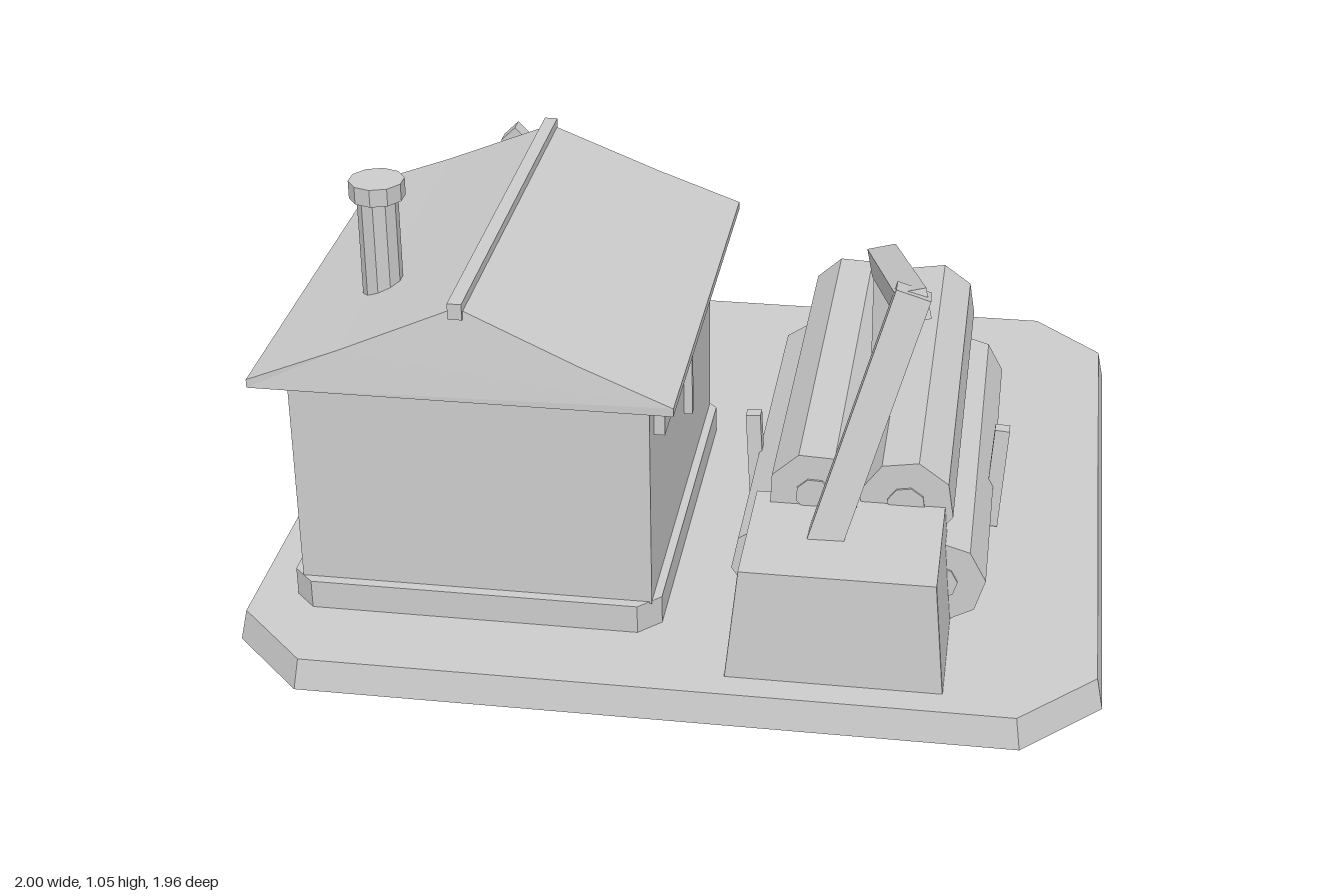
import * as THREE from 'three';

const gray = new THREE.MeshStandardMaterial({ color: 0xcccccc, side: THREE.DoubleSide });
gray.name = 'plain gray';

// Adds a faceted mesh with flat normals
function add(parent, name, geometry) {
  const g = geometry.index ? geometry.toNonIndexed() : geometry;
  g.computeVertexNormals();
  const mesh = new THREE.Mesh(g, gray);
  mesh.name = name;
  parent.add(mesh);
  return mesh;
}

// Box given by its limits on each axis
function box(parent, name, x0, x1, y0, y1, z0, z1) {
  const g = new THREE.BoxGeometry(x1 - x0, y1 - y0, z1 - z0);
  g.translate((x0 + x1) / 2, (y0 + y1) / 2, (z0 + z1) / 2);
  return add(parent, name, g);
}

// Square beam running between two points
function beam(parent, name, from, to, w, d) {
  const a = new THREE.Vector3(...from), b = new THREE.Vector3(...to);
  const dir = b.clone().sub(a);
  const mesh = add(parent, name, new THREE.BoxGeometry(w, dir.length(), d));
  mesh.quaternion.setFromUnitVectors(new THREE.Vector3(0, 1, 0), dir.normalize());
  mesh.position.copy(a).add(b).multiplyScalar(0.5);
  return mesh;
}

// Rectangle with cut corners, counter-clockwise from above
function cutRect(x0, x1, z0, z1, c) {
  return [[x0 + c, z1], [x1 - c, z1], [x1, z1 - c], [x1, z0 + c],
    [x1 - c, z0], [x0 + c, z0], [x0, z0 + c], [x0, z1 - c]];
}

// Straight sides between two rings plus a flat top, open below
function loft(low, y0, high, y1) {
  const p = [];
  const n = low.length;
  for (let i = 0; i < n; i++) {
    const j = (i + 1) % n;
    const a = [low[i][0], y0, low[i][1]], b = [low[j][0], y0, low[j][1]];
    const c = [high[j][0], y1, high[j][1]], d = [high[i][0], y1, high[i][1]];
    p.push(...a, ...b, ...c, ...a, ...c, ...d);
    if (i > 0 && i < n - 1) p.push(high[0][0], y1, high[0][1], ...d, ...c);
  }
  const g = new THREE.BufferGeometry();
  g.setAttribute('position', new THREE.Float32BufferAttribute(p, 3));
  return g;
}

function buildHouse() {
  const house = new THREE.Group();
  house.name = 'house';
  const foot = cutRect(-0.885, -0.015, -0.255, 0.755, 0.05);
  add(house, 'foundation', loft(foot, 0.07, foot, 0.145));
  box(house, 'walls', -0.86, -0.035, 0.14, 0.685, -0.23, 0.73);

  // Slightly bent gable roof, its ends leaning in towards the ridge
  const outline = [[-0.93, 0.675], [0.03, 0.675], [0.03, 0.695], [-0.18, 0.777],
    [-0.45, 0.893], [-0.72, 0.777], [-0.93, 0.695]];
  const shape = new THREE.Shape(outline.map(([x, y]) => new THREE.Vector2(x, y)));
  const roof = new THREE.ExtrudeGeometry(shape, { depth: 1.1, bevelEnabled: false });
  const pos = roof.attributes.position;
  for (let i = 0; i < pos.count; i++) {
    const inset = Math.max(0, pos.getY(i) - 0.695) * 0.14;
    pos.setZ(i, pos.getZ(i) > 0.5 ? 0.8 - inset : -0.305 + inset);
  }
  add(house, 'roof', roof);
  box(house, 'ridgeCap', -0.467, -0.435, 0.87, 0.908, -0.285, 0.785);

  // Chimney
  const stack = add(house, 'chimney', new THREE.CylinderGeometry(0.047, 0.047, 0.28, 10));
  stack.position.set(-0.698, 0.88, 0.47);
  const cap = add(house, 'chimneyCap', new THREE.CylinderGeometry(0.064, 0.064, 0.042, 10));
  cap.position.set(-0.698, 1.03, 0.47);

  // Trim on the side and back walls
  box(house, 'sideRail', -0.04, -0.01, 0.553, 0.613, -0.15, 0.67);
  box(house, 'sideSlat', -0.04, -0.015, 0.36, 0.515, 0.205, 0.222);
  box(house, 'backSlat', -0.21, -0.19, 0.36, 0.515, -0.25, -0.225);

  // Door with frame, knob and step
  box(house, 'door', -0.68, -0.44, 0.09, 0.5, -0.238, -0.225);
  for (const x of [-0.7, -0.42]) box(house, 'doorJamb', x - 0.02, x + 0.02, 0.09, 0.5, -0.25, -0.225);
  box(house, 'lintel', -0.72, -0.4, 0.497, 0.54, -0.27, -0.225);
  box(house, 'doorKnob', -0.655, -0.63, 0.29, 0.32, -0.255, -0.235);
  box(house, 'doorStep', -0.72, -0.4, 0.03, 0.11, -0.325, -0.24);
  return house;
}

function buildLogs() {
  const pile = new THREE.Group();
  pile.name = 'logPile';
  // x, y, radius, back z, front z, turn
  const logs = [
    [0.235, 0.18, 0.108, -0.46, 0.58, 0.2],
    [0.44, 0.18, 0.108, -0.52, 0.55, 0.5],
    [0.615, 0.178, 0.108, -0.44, 0.605, 0.1],
    [0.32, 0.372, 0.108, -0.47, 0.58, 0.35],
    [0.53, 0.347, 0.112, -0.505, 0.55, 0.55],
  ];
  for (const [x, y, r, z0, z1, turn] of logs) {
    const body = new THREE.CylinderGeometry(r, r, z1 - z0, 8);
    const core = new THREE.CylinderGeometry(r * 0.4, r * 0.4, z1 - z0 + 0.01, 8);
    for (const [name, g] of [['log', body], ['logCore', core]]) {
      g.rotateY(turn).rotateX(Math.PI / 2);
      add(pile, name, g).position.set(x, y, (z0 + z1) / 2);
    }
  }
  // Side stakes leaning outward
  beam(pile, 'leftStake', [0.72, 0.08, 0.165], [0.737, 0.342, 0.153], 0.036, 0.036);
  beam(pile, 'rightStake', [0.143, 0.08, 0.165], [0.128, 0.338, 0.153], 0.036, 0.036);
  return pile;
}

function buildCrane() {
  const crane = new THREE.Group();
  crane.name = 'crane';
  add(crane, 'craneBase', loft(cutRect(0.155, 0.645, 0.515, 0.9, 0.001), 0.07,
    cutRect(0.183, 0.62, 0.535, 0.885, 0.001), 0.345));
  beam(crane, 'craneColumn', [0.355, 0.32, 0.695], [0.53, 0.905, 0.577], 0.08, 0.075);
  beam(crane, 'craneBoom', [0.53, 0.88, 0.6], [0.425, 0.7, 0.0], 0.07, 0.07);
  beam(crane, 'craneHook', [0.43, 0.71, 0.01], [0.43, 0.45, -0.005], 0.055, 0.03);
  return crane;
}

function buildChoppingBlock() {
  const group = new THREE.Group();
  group.name = 'choppingBlock';
  const stump = new THREE.CylinderGeometry(0.198, 0.218, 0.255, 10);
  stump.rotateY(Math.PI / 10);
  add(group, 'stump', stump).position.set(-0.32, 0.198, -0.6);

  // Axe stuck in the block
  beam(group, 'axeHandle', [-0.315, 0.41, -0.595], [-0.632, 0.735, -0.595], 0.055, 0.047);
  const s = new THREE.Shape([[-0.035, -0.17], [0.035, -0.17], [0.035, 0.13], [-0.035, 0.13]]
    .map(([x, y]) => new THREE.Vector2(x, y)));
  const head = new THREE.ExtrudeGeometry(s, { depth: 0.068, bevelEnabled: false });
  head.translate(0, 0, -0.034);
  const p = head.attributes.position;
  for (let i = 0; i < p.count; i++) if (p.getY(i) < 0) p.setZ(i, p.getZ(i) * 0.35);
  const mesh = add(group, 'axeHead', head);
  mesh.position.set(-0.295, 0.44, -0.595);
  mesh.rotation.z = -Math.PI / 4;
  return group;
}

function buildBucket() {
  const group = new THREE.Group();
  group.name = 'bucket';
  add(group, 'bucketBody', new THREE.CylinderGeometry(0.097, 0.068, 0.11, 8)).position.y = 0.09;
  add(group, 'bucketHandle', new THREE.TorusGeometry(0.082, 0.007, 4, 8, Math.PI)).position.y = 0.14;
  group.position.set(-0.73, 0, -0.43);
  return group;
}

export function createModel() {
  const model = new THREE.Group();
  model.name = 'loggingYard';
  // Ground slab with cut corners, hollow underneath
  add(model, 'groundSlab', loft(cutRect(-1, 1, -0.98, 0.98, 0.18), 0,
    cutRect(-0.985, 0.985, -0.967, 0.967, 0.175), 0.075));
  model.add(buildHouse(), buildLogs(), buildCrane(), buildChoppingBlock(), buildBucket());
  return model;
}
